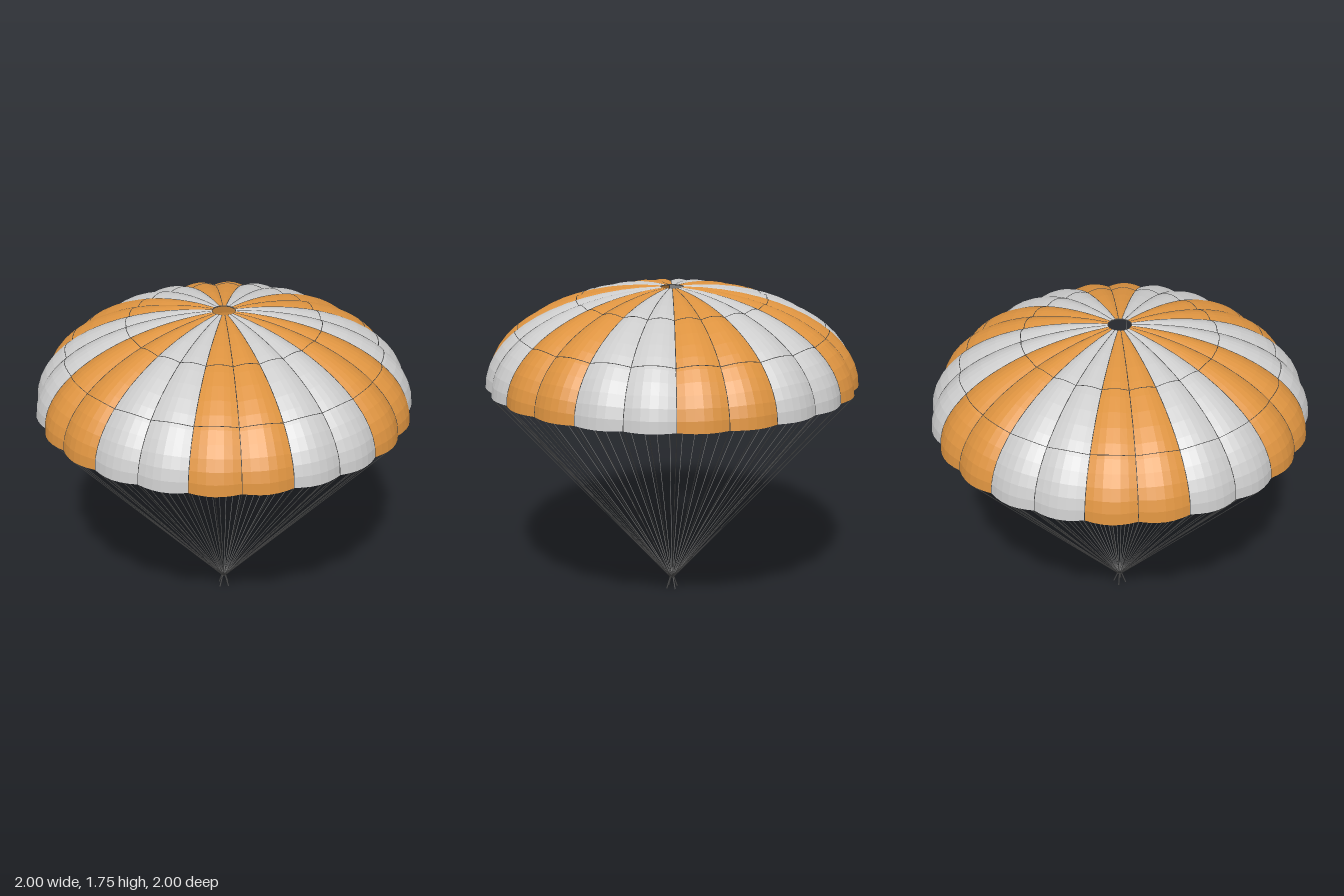
import * as THREE from 'three';

const GORES = 24, COLS = 6, ROWS = 14;
const RIM_Y = 1.23, RX = 0.984, RY = 0.515, BULGE = 0.0245, VENT = 0.062;
const V0 = Math.asin(VENT / RX);

// Canopy point: u counts gores clockwise from the back, v runs from crown (0) to rim (PI/2).
function canopyPoint(u, v, lift = 0) {
  const a = (u / GORES) * Math.PI * 2;
  const n = new THREE.Vector2(Math.sin(v) / RX, Math.cos(v) / RY).normalize();
  const puff = BULGE * Math.abs(Math.sin(u * Math.PI)) * Math.pow(Math.sin(v), 0.7) + lift;
  const r = RX * Math.sin(v) + n.x * puff;
  const y = RIM_Y + RY * Math.cos(v) + n.y * puff;
  return new THREE.Vector3(r * Math.sin(a), y, -r * Math.cos(a));
}

// One coloured stripe made of two puffed gores
function stripeGeometry(k) {
  const pos = [], idx = [], w = COLS * 2 + 1;
  for (let j = 0; j <= ROWS; j++) {
    const v = V0 + (Math.PI / 2 - V0) * (j / ROWS);
    for (let i = 0; i < w; i++) pos.push(...canopyPoint(k * 2 + i / COLS, v).toArray());
  }
  for (let j = 0; j < ROWS; j++) {
    for (let i = 0; i < w - 1; i++) {
      const a = j * w + i, b = a + 1, c = a + w, d = c + 1;
      idx.push(a, b, c, b, d, c);
    }
  }
  const g = new THREE.BufferGeometry();
  g.setAttribute('position', new THREE.Float32BufferAttribute(pos, 3));
  g.setIndex(idx);
  g.computeVertexNormals();
  return g;
}

export function createModel() {
  const model = new THREE.Group();
  const grey = new THREE.MeshStandardMaterial({ color: 0xcccccc, flatShading: true, side: THREE.DoubleSide });
  const orange = new THREE.MeshStandardMaterial({ color: 0xdd9340, flatShading: true, side: THREE.DoubleSide });
  const cord = new THREE.MeshStandardMaterial({ color: 0x444444 });

  const add = (parent, name, geometry, material) => {
    const mesh = new THREE.Mesh(geometry, material);
    mesh.name = name;
    parent.add(mesh);
    return mesh;
  };
  const group = (name) => {
    const g = new THREE.Group();
    g.name = name;
    model.add(g);
    return g;
  };
  // Straight cord between two points
  const line = (parent, name, p, q, r, sides) =>
    add(parent, name, new THREE.TubeGeometry(new THREE.LineCurve3(p, q), 1, r, sides), cord);

  // Canopy stripes
  const canopy = group('canopy');
  for (let k = 0; k < GORES / 2; k++) {
    add(canopy, k % 2 ? 'greyStripe' : 'orangeStripe', stripeGeometry(k), k % 2 ? grey : orange);
  }

  // Radial seams between gores
  const seams = group('seams');
  for (let u = 0; u < GORES; u++) {
    const pts = [];
    for (let j = 0; j <= ROWS; j++) pts.push(canopyPoint(u, V0 + (Math.PI / 2 - V0) * (j / ROWS)));
    add(seams, 'radialSeam', new THREE.TubeGeometry(new THREE.CatmullRomCurve3(pts), ROWS * 2, 0.002, 4), cord);
  }

  // Stitched rings following the puffed cloth
  for (const r of [0.51, 0.83]) {
    const pts = [];
    for (let i = 0; i < GORES * COLS; i++) pts.push(canopyPoint(i / COLS, Math.asin(r / RX)));
    const path = new THREE.CatmullRomCurve3(pts, true);
    add(seams, 'stitchRing', new THREE.TubeGeometry(path, GORES * COLS, 0.0018, 4, true), cord);
  }

  // Vent hem at the crown
  const hem = add(canopy, 'ventHem', new THREE.TorusGeometry(VENT, 0.003, 6, GORES), cord);
  hem.rotation.x = Math.PI / 2;
  hem.position.y = RIM_Y + RY * Math.cos(V0);

  // Suspension lines from each seam and gore middle to the gathering ring
  const lines = group('suspensionLines');
  const ringY = 0.07;
  for (let i = 0; i < GORES * 2; i++) {
    const top = canopyPoint(i / 2, Math.PI / 2);
    const bottom = new THREE.Vector3(top.x * 0.012, ringY, top.z * 0.012);
    line(lines, 'suspensionLine', top, bottom, 0.002, 5);
  }

  // Gathering ring and splayed risers
  const harness = group('harness');
  const ring = add(harness, 'gatheringRing', new THREE.TorusGeometry(0.012, 0.004, 6, 16), cord);
  ring.rotation.x = Math.PI / 2;
  ring.position.y = ringY;
  for (let i = 0; i < 4; i++) {
    const a = (i * Math.PI) / 2, s = Math.sin(a), c = Math.cos(a);
    line(harness, 'riser', new THREE.Vector3(s * 0.01, ringY, c * 0.01),
      new THREE.Vector3(s * 0.035, 0.001, c * 0.035), 0.0035, 6);
  }
  return model;
}
